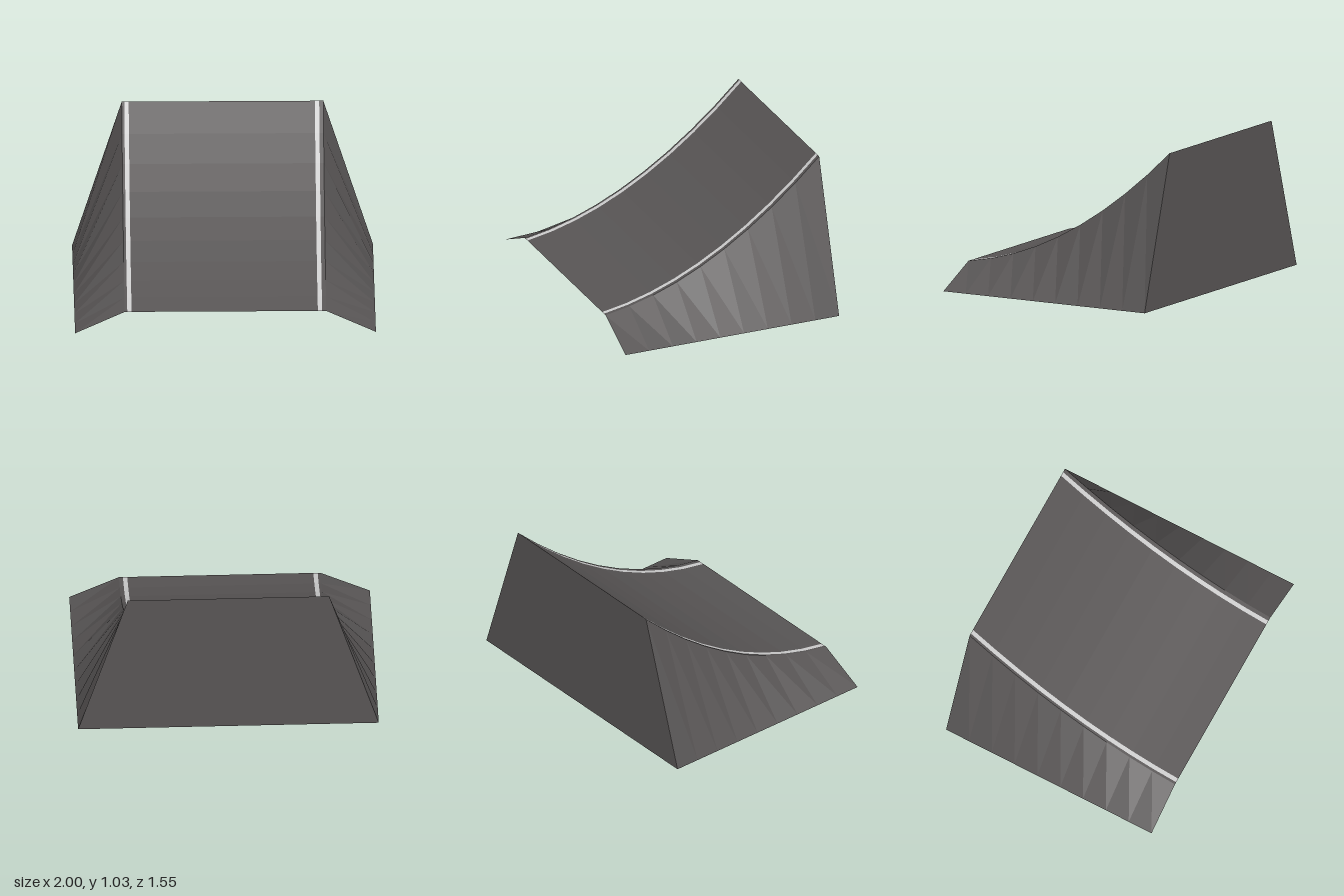
import * as THREE from 'three';

const SEGMENTS = 9;
const HALF_DEPTH = 0.775;
const EDGE = 0.67;

const darkMat = new THREE.MeshStandardMaterial({ color: 0x585555, flatShading: true, side: THREE.DoubleSide });
const stripeMat = new THREE.MeshStandardMaterial({ color: 0xcccccc, flatShading: true, side: THREE.DoubleSide });

// Ramp profile: t = 0 at the low front lip, 1 at the high back edge
const rampZ = (t) => HALF_DEPTH * (1 - 2 * t);
const rampY = (t) => 0.152 + 0.225 * t + 0.652 * t * t;
const onRamp = (x) => (t) => [x, rampY(t), rampZ(t)];
const onGround = (x) => (t) => [x, 0, rampZ(t)];

// Faceted strip between two lines running front to back, left line first
function strip(name, lineA, lineB, material) {
  const pos = [];
  for (let i = 0; i < SEGMENTS; i++) {
    const t0 = i / SEGMENTS, t1 = (i + 1) / SEGMENTS;
    const a0 = lineA(t0), a1 = lineA(t1), b0 = lineB(t0), b1 = lineB(t1);
    pos.push(...a0, ...b0, ...b1, ...a0, ...b1, ...a1);
  }
  const geo = new THREE.BufferGeometry();
  geo.setAttribute('position', new THREE.Float32BufferAttribute(pos, 3));
  geo.computeVertexNormals();
  const mesh = new THREE.Mesh(geo, material);
  mesh.name = name;
  return mesh;
}

export function createModel() {
  const group = new THREE.Group();
  group.name = 'ramp';

  // Curved deck, split across its width by two light stripes
  const bands = [
    ['rightDeckEdge', -EDGE, -0.653, darkMat],
    ['rightStripe', -0.653, -0.624, stripeMat],
    ['deck', -0.624, 0.614, darkMat],
    ['leftStripe', 0.614, 0.643, stripeMat],
    ['leftDeckEdge', 0.643, EDGE, darkMat],
  ];
  for (const [name, x0, x1, mat] of bands) group.add(strip(name, onRamp(x0), onRamp(x1), mat));

  // Sloping sides from the deck edges out to the ground
  group.add(strip('leftSide', onRamp(EDGE), onGround(1), darkMat));
  group.add(strip('rightSide', onGround(-1), onRamp(-EDGE), darkMat));

  // Upright back wall; the front and underside stay open
  const h = rampY(1);
  const wall = new THREE.Shape([[-1, 0], [1, 0], [EDGE, h], [-EDGE, h]].map(([x, y]) => new THREE.Vector2(x, y)));
  const back = new THREE.Mesh(new THREE.ShapeGeometry(wall), darkMat);
  back.name = 'backWall';
  back.rotation.y = Math.PI;
  back.position.z = -HALF_DEPTH;
  group.add(back);

  return group;
}
